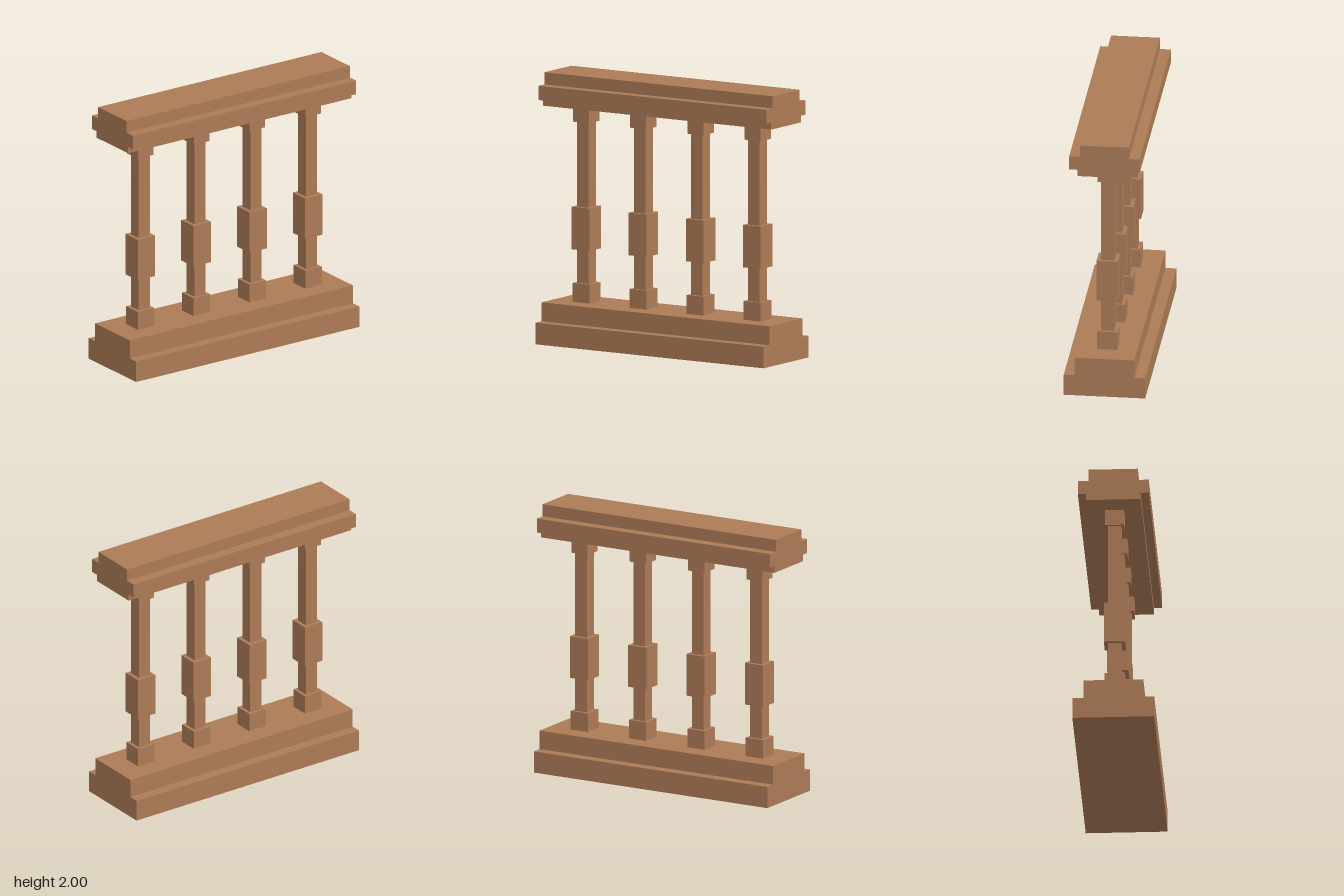
import * as THREE from 'three';

const LENGTH = 2;

export function createModel() {
  const wood = new THREE.MeshStandardMaterial({ color: 0xad7b57 });
  wood.name = 'warm brown';
  const model = new THREE.Group();
  model.name = 'balustrade';

  // Stepped rail: mirrored [half depth, height] profile extruded along x
  function rail(name, half) {
    const mirrored = half.map(([z, y]) => [-z, y]).reverse();
    const shape = new THREE.Shape([...half, ...mirrored].map(([z, y]) => new THREE.Vector2(z, y)));
    const geometry = new THREE.ExtrudeGeometry(shape, { depth: LENGTH, bevelEnabled: false });
    geometry.translate(0, 0, -LENGTH / 2).rotateY(Math.PI / 2);
    const mesh = new THREE.Mesh(geometry, wood);
    mesh.name = name;
    model.add(mesh);
  }

  rail('bottomRail', [[0.3, 0], [0.3, 0.16], [0.22, 0.16], [0.22, 0.3]]);
  rail('handrail', [[0.2, 1.755], [0.2, 1.805], [0.26, 1.805], [0.26, 1.91], [0.18, 1.91], [0.18, 2]]);

  // Square baluster sections: name, width, bottom, top
  const sections = [
    ['foot', 0.148, 0.3, 0.44],
    ['lowerShaft', 0.1, 0.44, 0.69],
    ['middleBlock', 0.156, 0.69, 1.005],
    ['upperShaft', 0.1, 1.005, 1.635],
    ['capital', 0.14, 1.635, 1.755],
  ];

  for (const x of [-0.75, -0.25, 0.25, 0.75]) {
    const baluster = new THREE.Group();
    baluster.name = 'baluster';
    baluster.position.x = x;
    for (const [name, width, bottom, top] of sections) {
      const mesh = new THREE.Mesh(new THREE.BoxGeometry(width, top - bottom, width), wood);
      mesh.name = name;
      mesh.position.y = (bottom + top) / 2;
      baluster.add(mesh);
    }
    model.add(baluster);
  }

  return model;
}
